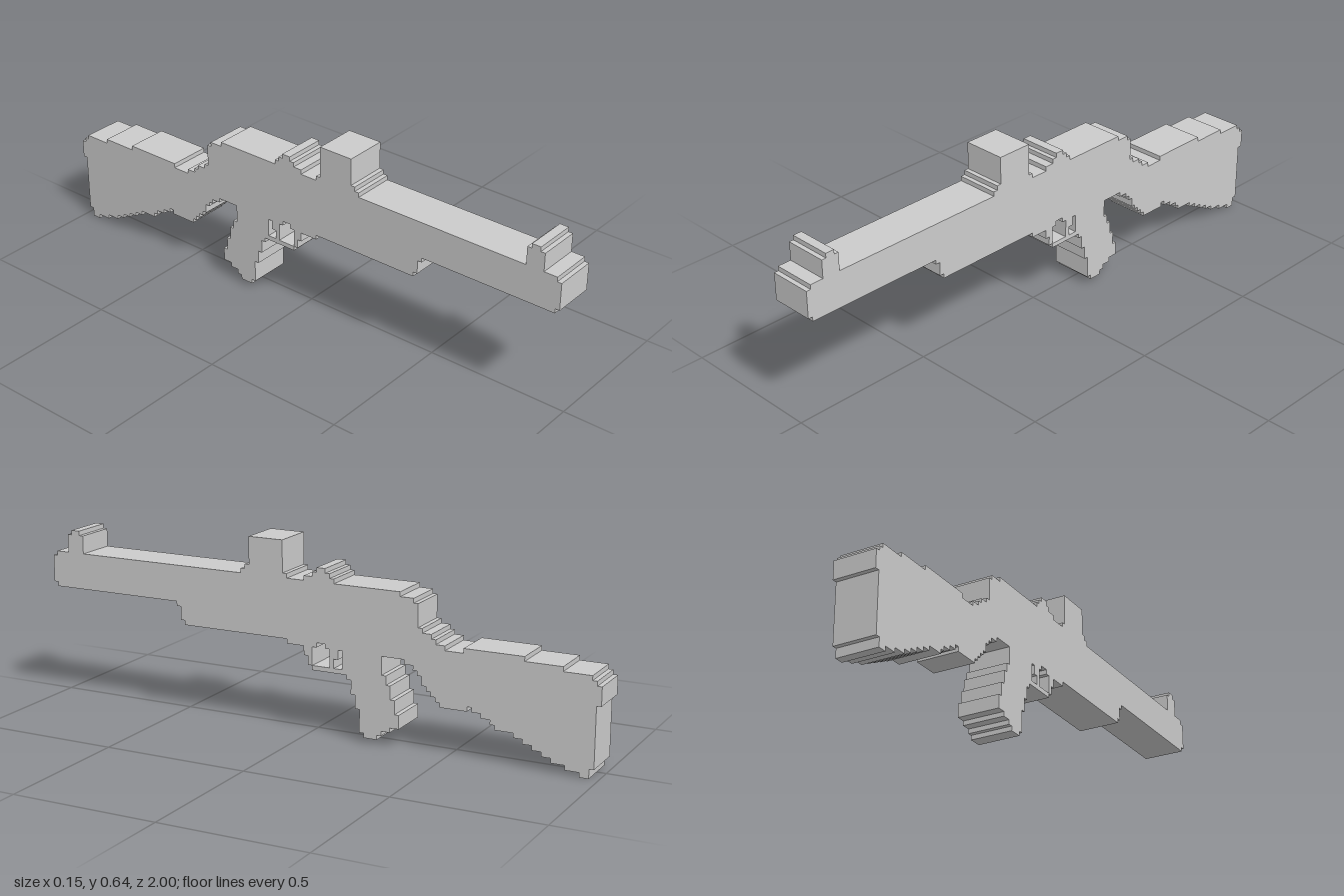
import * as THREE from 'three';

const CELL = 2 / 128;   // the silhouette sits on a grid of square cells
const WIDTH = 0.148;
const material = new THREE.MeshStandardMaterial({ color: 0xcccccc, flatShading: true });

// Grid cell corner (columns from the muzzle, rows from the ground) to z, y
const point = ([u, v]) => new THREE.Vector2(1 - u * CELL, v * CELL);

// Stepped line: each step is [end column, row]
function steps(start, list) {
  const points = [];
  let u = start;
  for (const [end, v] of list) {
    points.push([u, v], [end, v]);
    u = end;
  }
  return points;
}

// A slab of constant width between a stepped top and a stepped underside
function part(name, start, top, bottom, holes = []) {
  const outline = [...steps(start, top), ...steps(start, bottom).reverse()];
  const shape = new THREE.Shape(outline.map(point));
  for (const hole of holes) shape.holes.push(new THREE.Path(hole.map(point)));
  const geometry = new THREE.ExtrudeGeometry(shape, { depth: WIDTH, bevelEnabled: false });
  geometry.translate(0, 0, -WIDTH / 2).rotateY(-Math.PI / 2);
  const mesh = new THREE.Mesh(geometry, material);
  mesh.name = name;
  return mesh;
}

export function createModel() {
  const model = new THREE.Group();
  model.name = 'rifle';

  model.add(
    part('barrel', 0, [[1, 32], [32, 33]], [[1, 26], [32, 25]]),

    part('receiver', 32,
      [[85, 33], [88, 32], [89, 31]],
      [[33, 24], [34, 21], [59, 20], [63, 19], [73, 21], [86, 19], [88, 18], [89, 17]]),

    // Sights along the top
    part('frontSight', 4, [[5, 37], [7, 38], [8, 37]], [[8, 33]]),
    part('sightBlock', 48, [[49, 34], [50, 35], [58, 41], [59, 34]], [[59, 33]]),
    part('rearSight', 63, [[65, 34], [66, 35], [68, 36], [69, 35], [70, 34]], [[70, 33]]),

    // Guard with an opening on each side of the trigger
    part('triggerGuard', 63, [[73, 21]], [[64, 17], [65, 15], [73, 14]], [
      [[65, 15], [69, 15], [69, 19], [68, 19], [68, 20], [66, 20], [66, 19], [65, 19]],
      [[70, 15], [72, 15], [72, 19], [71, 19], [71, 17], [70, 17]],
    ]),

    part('grip', 73,
      [[81, 19], [82, 15], [83, 13], [84, 10], [85, 7]],
      [[74, 13], [75, 10], [76, 7], [77, 2], [80, 1], [81, 2], [83, 3], [85, 4]]),

    part('stock', 89,
      [[90, 26], [92, 25], [93, 24], [95, 23], [99, 22], [112, 23], [120, 22], [126, 21], [127, 20], [128, 19]],
      [[90, 16], [91, 14], [92, 13], [93, 12], [94, 11], [100, 10], [101, 11], [103, 10], [105, 9], [106, 8],
        [110, 7], [112, 6], [114, 5], [116, 4], [118, 3], [121, 2], [124, 1], [126, 0], [127, 2], [128, 15]]),
  );
  return model;
}
